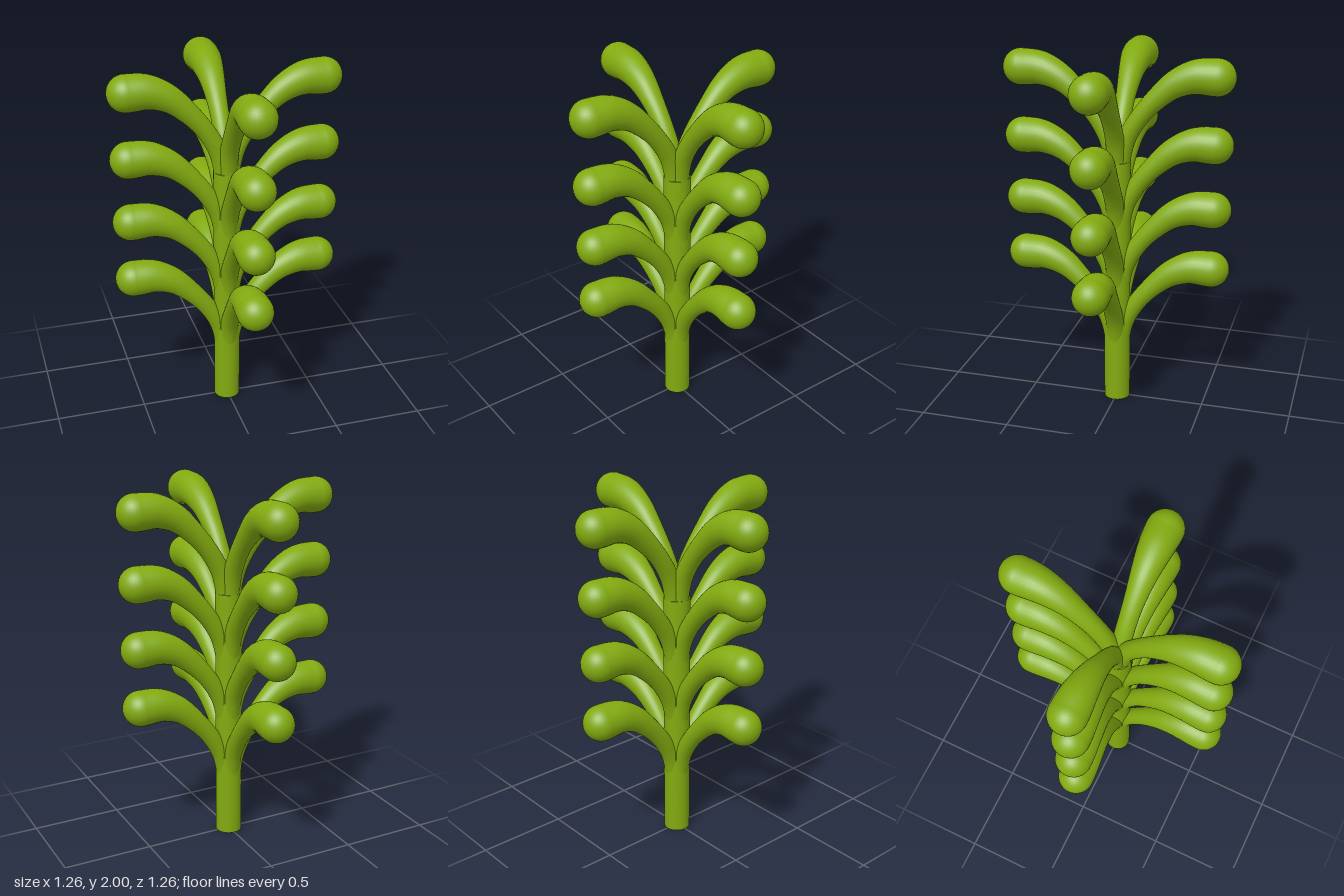
import * as THREE from 'three';

const material = new THREE.MeshStandardMaterial({ color: 0x82aa10 });
const TIP_RADIUS = 0.098;
const STEM_RADIUS = 0.05;

// Arching centre line of a branch: x outwards from the trunk, y relative to the tip
const path = new THREE.CatmullRomCurve3([
  [0.02, -0.52], [0.027, -0.45], [0.055, -0.35], [0.122, -0.235],
  [0.213, -0.13], [0.31, -0.048], [0.42, -0.003], [0.53, 0],
].map(([x, y]) => new THREE.Vector3(x, y, 0)));

// Tube that swells smoothly from the slim stem to the rounded bulb
function taperedTube() {
  const segments = 48, sides = 28;
  const geometry = new THREE.TubeGeometry(path, segments, 1, sides);
  const position = geometry.attributes.position;
  const normal = geometry.attributes.normal;
  const n = new THREE.Vector3();
  for (let i = 0; i < position.count; i++) {
    const p = path.getPointAt(Math.floor(i / (sides + 1)) / segments);
    const swell = THREE.MathUtils.smoothstep(p.x, 0.1, 0.53);
    const radius = THREE.MathUtils.lerp(STEM_RADIUS, TIP_RADIUS, swell);
    n.fromBufferAttribute(normal, i);
    p.addScaledVector(n, radius);
    position.setXYZ(i, p.x, p.y, p.z);
  }
  return geometry;
}

const stemGeometry = taperedTube();
const tipGeometry = new THREE.SphereGeometry(TIP_RADIUS, 32, 20);
const rootGeometry = new THREE.CircleGeometry(STEM_RADIUS, 28).rotateX(Math.PI / 2);

function part(name, geometry, position) {
  const mesh = new THREE.Mesh(geometry, material);
  mesh.name = name;
  if (position) mesh.position.copy(position);
  return mesh;
}

function createBranch() {
  const branch = new THREE.Group();
  branch.name = 'branch';
  branch.add(
    part('branchStem', stemGeometry),
    part('branchTip', tipGeometry, path.getPoint(1)),
    part('branchRoot', rootGeometry, path.getPoint(0)),
  );
  return branch;
}

export function createModel() {
  const model = new THREE.Group();
  model.name = 'branchingPlant';

  // Straight trunk, hidden by the branch crotch at the top
  const trunkHeight = 1.42;
  const trunk = part('trunk', new THREE.CylinderGeometry(0.073, 0.073, trunkHeight, 40));
  trunk.position.y = trunkHeight / 2;
  model.add(trunk);

  // Four tiers of four branches; the middle tiers sit a touch higher at -x and -z
  const tiers = [[0.845, 0], [1.173, 0.012], [1.527, 0.014], [1.902, 0]];
  tiers.forEach(([height, lift], t) => {
    const tier = new THREE.Group();
    tier.name = `tier${t + 1}`;
    for (let k = 0; k < 4; k++) {
      const branch = createBranch();
      branch.rotation.y = k * Math.PI / 2;
      branch.position.y = height + (k === 1 || k === 2 ? lift : 0);
      tier.add(branch);
    }
    model.add(tier);
  });
  return model;
}
